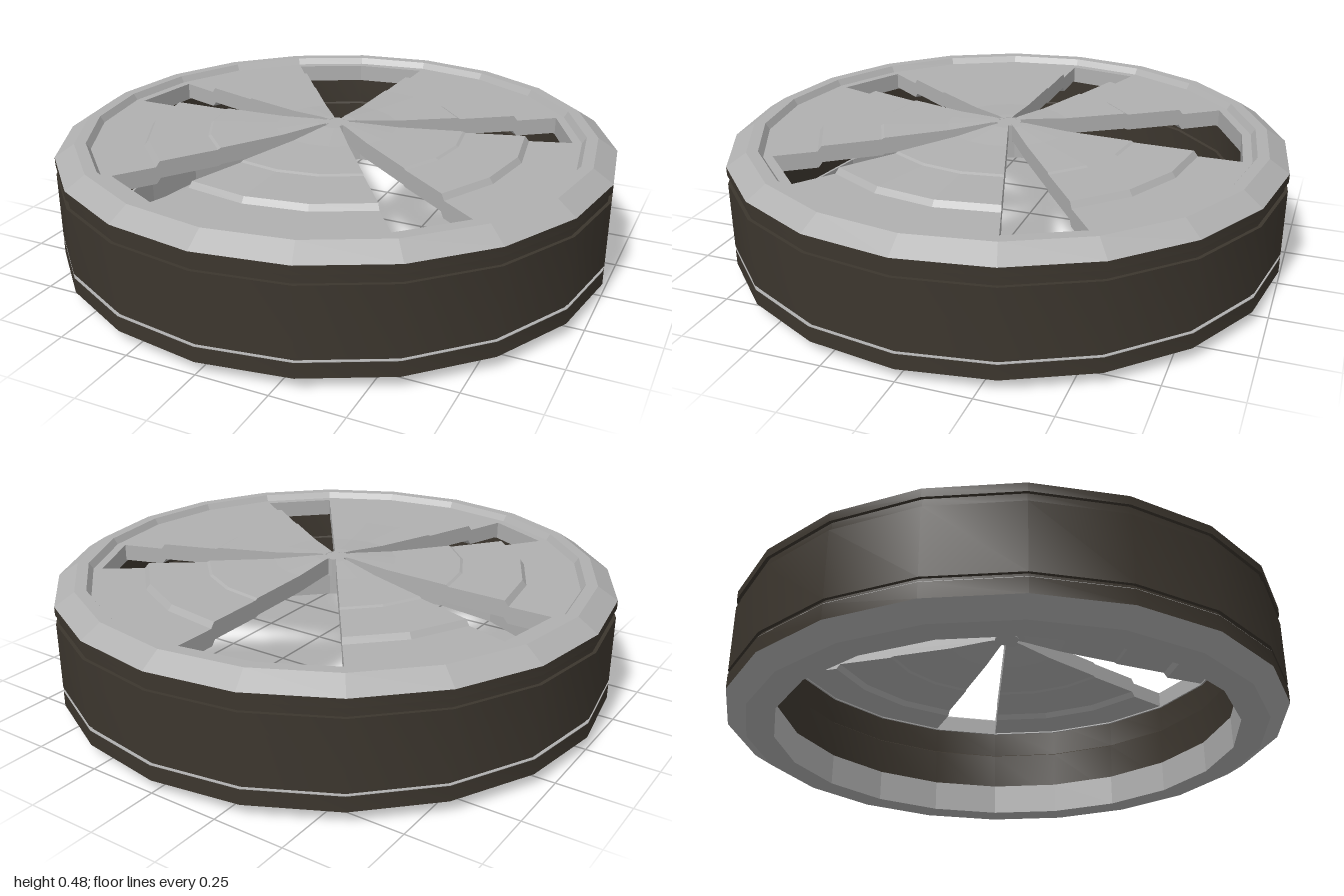
import * as THREE from 'three';
import { toCreasedNormals } from 'three/addons/utils/BufferGeometryUtils.js';

const SIDES = 20;
const STEP = (Math.PI * 2) / SIDES;

const metal = new THREE.MeshStandardMaterial({ color: 0xb0b0b0, flatShading: true, side: THREE.DoubleSide });
const rubber = new THREE.MeshStandardMaterial({ color: 0x3c362e });

const toPoints = (list) => list.map(([r, y]) => new THREE.Vector2(r, y));

// Closed ring of revolution; profile runs anticlockwise in (radius, height)
function ring(name, profile, material) {
  let geo = new THREE.LatheGeometry(toPoints([...profile, profile[0]]), SIDES);
  if (!material.flatShading) geo = toCreasedNormals(geo, 0.5);
  const mesh = new THREE.Mesh(geo, material);
  mesh.name = name;
  return mesh;
}

// Sector of a ring, from facet "first" over "count" facets, with both cut ends closed
function sector(name, profile, first, count) {
  const group = new THREE.Group();
  group.name = name;
  const start = first * STEP;
  const body = new THREE.LatheGeometry(
    toPoints([...profile, profile[0]]), count, start + Math.PI / 2, count * STEP);
  group.add(new THREE.Mesh(body, metal));
  for (const angle of [start, start + count * STEP]) {
    const cap = new THREE.Mesh(new THREE.ShapeGeometry(new THREE.Shape(toPoints(profile))), metal);
    cap.rotation.y = angle;
    group.add(cap);
  }
  return group;
}

export function createModel() {
  const wheel = new THREE.Group();
  wheel.name = 'wheel';

  // Dark tyre band with two shallow grooves outside and a small step inside
  wheel.add(ring('tyre', [
    [0.842, 0.045], [1, 0.045], [1, 0.098], [0.988, 0.098], [0.988, 0.115],
    [1, 0.115], [1, 0.352], [0.988, 0.352], [0.988, 0.385], [1, 0.385], [1, 0.415],
    [0.85, 0.415], [0.85, 0.27], [0.842, 0.265],
  ], rubber));

  // Thin pale ledge in the lower groove
  wheel.add(ring('grooveTrim', [
    [0.987, 0.097], [0.999, 0.097], [0.999, 0.1], [0.987, 0.1],
  ], metal));

  // Bevelled lower rim with a deep inner wall
  wheel.add(ring('lowerRim', [
    [0.832, 0], [0.93, 0], [1, 0.045], [0.845, 0.045], [0.845, 0.12], [0.832, 0.12],
  ], metal));

  // Bevelled upper rim, stepping down to the face of the disc
  wheel.add(ring('upperRim', [
    [0.843, 0.372], [0.852, 0.372], [0.852, 0.415], [1, 0.415], [0.93, 0.46], [0.89, 0.46],
    [0.875, 0.437], [0.843, 0.437],
  ], metal));

  // Stepped, slightly domed blades; pairs are [first facet, facet count]
  const face = [
    [0.843, 0.437], [0.69, 0.437], [0.675, 0.456], [0.465, 0.458],
    [0.455, 0.463], [0.22, 0.468], [0.07, 0.48], [0.035, 0.48],
  ];
  const underside = face.map(([r, y]) => [r, y - 0.06]).reverse();
  const blade = [...face, ...underside];
  [[2, 3], [7, 2], [10, 3], [14, 3], [18, 3]].forEach(([first, count], i) => {
    wheel.add(sector('blade' + (i + 1), blade, first, count));
  });

  // Small centre hub joining the blades
  const hub = new THREE.Mesh(new THREE.CylinderGeometry(0.045, 0.045, 0.064, SIDES), metal);
  hub.position.y = 0.447;
  hub.name = 'hub';
  wheel.add(hub);

  return wheel;
}
